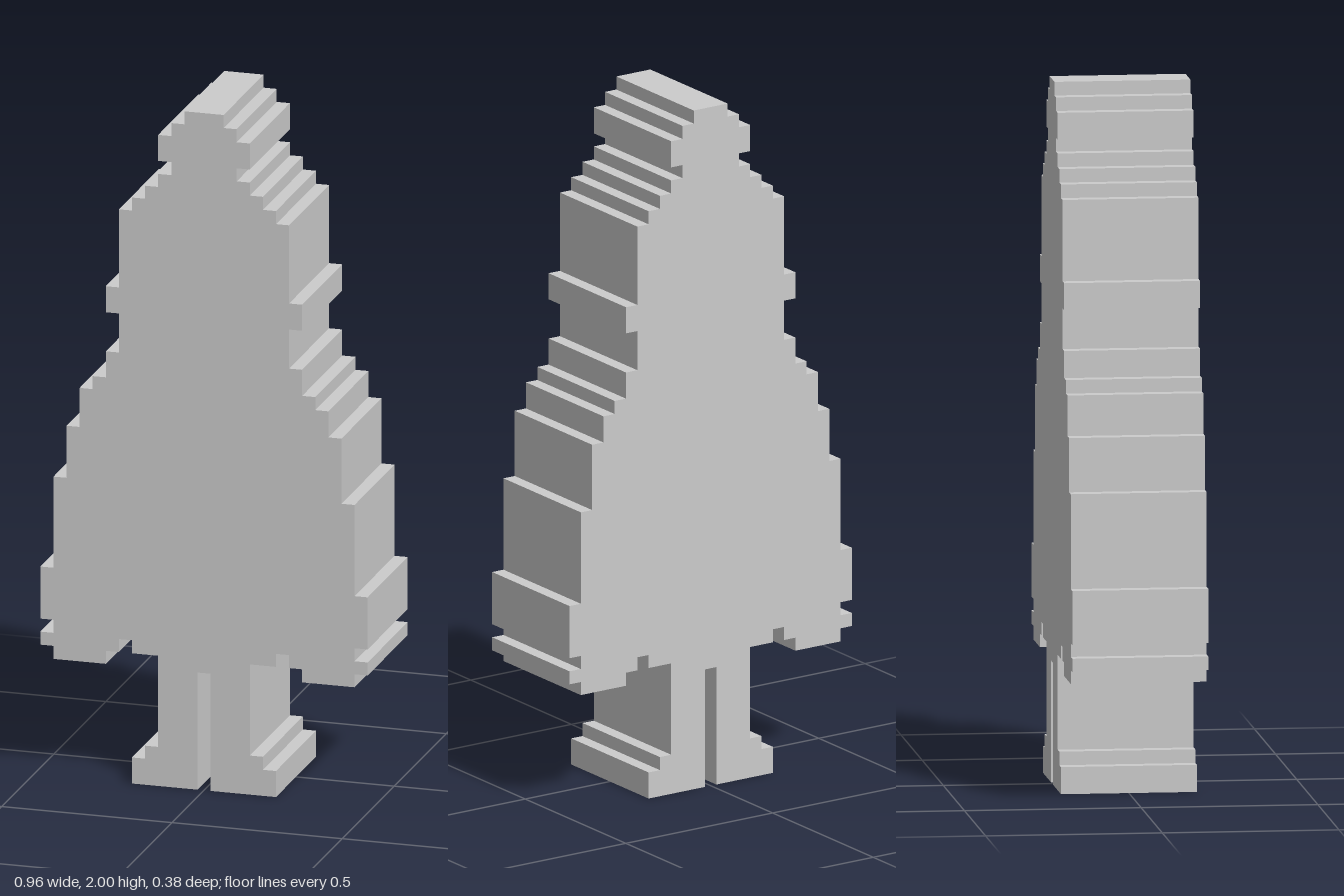
import * as THREE from 'three';

const U = 2 / 52;      // one pixel of the stepped silhouette
const DEPTH = 10 * U;

// Each step goes sideways to x, then up or down to y (in pixels).
const LEGS_AND_HEM = [
  [0.5, 0], [5.5, 2], [4.5, 3], [3.5, 10], [5.5, 11], [6.5, 10], [7.5, 9],
  [11.5, 10], [12.5, 11], [11.5, 12], [12.5, 16], [11.5, 23],
];
const SHOULDERS_AND_HEAD = [
  [9.5, 30], [8.5, 31], [7.5, 33], [6.5, 36], [7.5, 38], [6.5, 44],
  [5.5, 45], [4.5, 46], [3.5, 47], [2.5, 48], [3.5, 50], [2.5, 51], [1.5, 52],
];

// Corners of one half, from the gap between the legs up to the crown
function halfOutline(sleeveTop) {
  const corners = [[0.5, 9]];
  let y = 9;
  for (const [x, nextY] of [...LEGS_AND_HEM, [10.5, sleeveTop], ...SHOULDERS_AND_HEAD]) {
    if (y !== 9 || x !== 0.5) corners.push([x, y]);
    corners.push([x, nextY]);
    y = nextY;
  }
  return corners;
}

export function createModel() {
  const group = new THREE.Group();
  group.name = 'pixelFigure';

  // The two sides mirror each other except for one sleeve step
  const left = halfOutline(28);
  const right = halfOutline(27).map(([x, y]) => [-x, y]).reverse();
  const shape = new THREE.Shape(
    [...left, ...right].map(([x, y]) => new THREE.Vector2(x * U, y * U)));

  // Thick slab cut to the silhouette
  const geometry = new THREE.ExtrudeGeometry(shape, { depth: DEPTH, bevelEnabled: false });
  geometry.translate(0, 0, -DEPTH / 2);
  const body = new THREE.Mesh(
    geometry, new THREE.MeshStandardMaterial({ color: 0xcccccc, flatShading: true }));
  body.name = 'figureSlab';
  group.add(body);
  return group;
}
